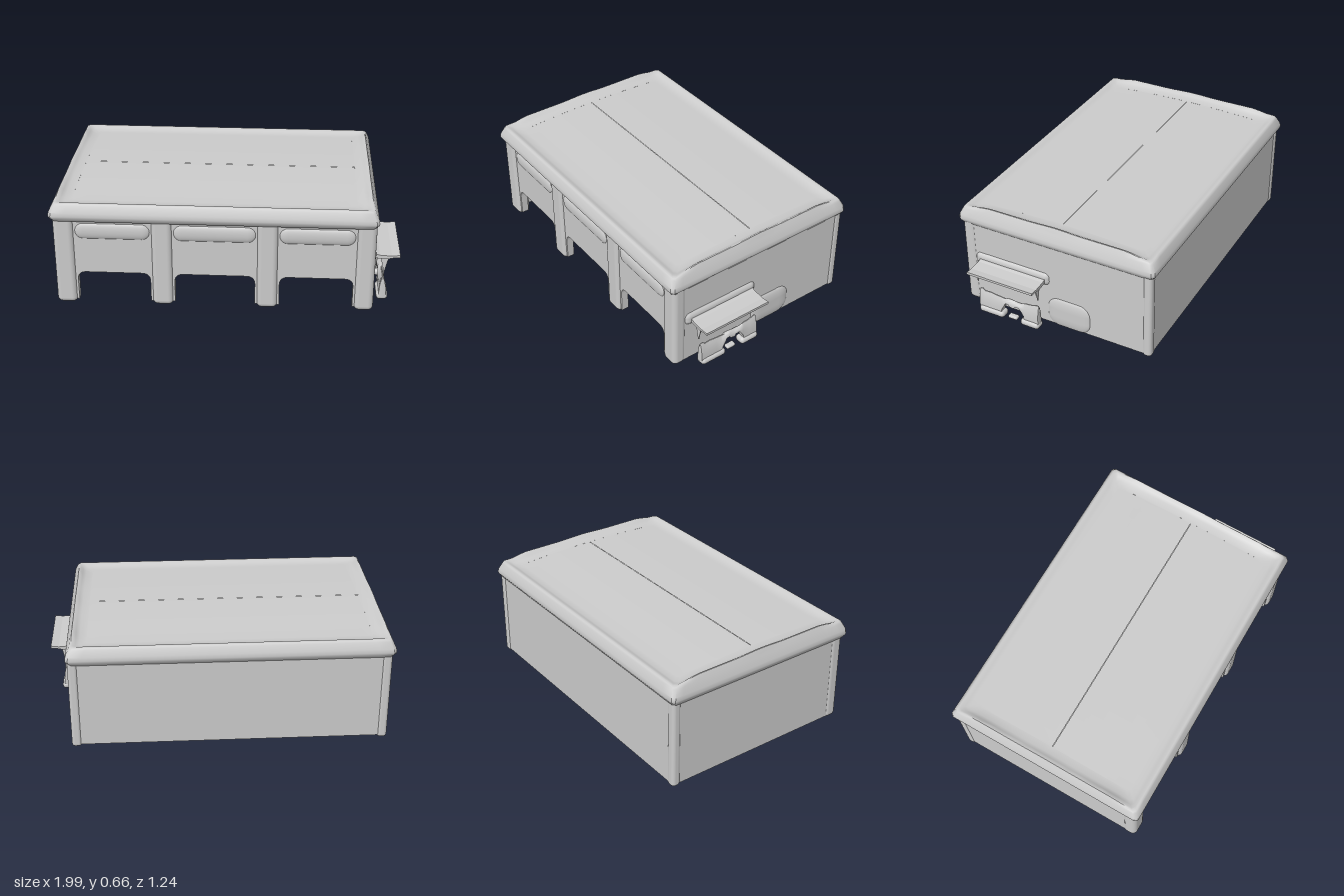
import * as THREE from 'three';
import { RoundedBoxGeometry } from 'three/addons/geometries/RoundedBoxGeometry.js';
import { toCreasedNormals } from 'three/addons/utils/BufferGeometryUtils.js';

const mat = new THREE.MeshStandardMaterial({ color: 0xcccccc, side: THREE.DoubleSide });
const CX = -0.068; // centre of the building in x
const ss = THREE.MathUtils.smoothstep;

export function createModel() {
  const model = new THREE.Group();

  const add = (name, geometry, parent = model) => {
    const mesh = new THREE.Mesh(geometry, mat);
    mesh.name = name;
    parent.add(mesh);
  };
  // box given by its limits; r > 0 rounds the edges
  const box = (name, [x0, x1], [y0, y1], [z0, z1], r = 0, parent = model) => {
    const s = [x1 - x0, y1 - y0, z1 - z0];
    const g = r ? new RoundedBoxGeometry(...s, 4, r) : new THREE.BoxGeometry(...s);
    g.translate((x0 + x1) / 2, (y0 + y1) / 2, (z0 + z1) / 2);
    add(name, g, parent);
  };
  const group = (name) => {
    const g = new THREE.Group();
    g.name = name;
    model.add(g);
    return g;
  };

  // Shell: solid upper block over a low open space, closed on three sides
  box('upperBlock', [-0.972, 0.844], [0.2, 0.58], [-0.597, 0.545]);
  box('leftWall', [-0.972, -0.925], [0.015, 0.5], [-0.597, 0.56]);
  box('rightWall', [0.798, 0.844], [0.015, 0.5], [-0.597, 0.56]);
  box('backWall', [-0.972, 0.844], [0.015, 0.5], [-0.597, -0.552]);

  // Front panel with three round-cornered door openings cut from below
  const bays = [[-0.85, -0.43], [-0.29, 0.17], [0.31, 0.73]];
  const front = new THREE.Shape();
  front.moveTo(-0.965, 0.02);
  const r = 0.05, top = 0.2;
  for (const [a, b] of bays) {
    front.lineTo(a, 0.02);
    front.lineTo(a, top - r);
    front.quadraticCurveTo(a, top, a + r, top);
    front.lineTo(b - r, top);
    front.quadraticCurveTo(b, top, b, top - r);
    front.lineTo(b, 0.02);
  }
  front.lineTo(0.838, 0.02);
  front.lineTo(0.838, 0.56);
  front.lineTo(-0.965, 0.56);
  const frontGeo = new THREE.ExtrudeGeometry(front, { depth: 0.045, bevelEnabled: false, curveSegments: 8 });
  add('frontPanel', frontGeo.translate(0, 0, 0.538));

  // Front pillars, the corner ones deeper, and a soft raised bar above each opening
  [[-0.978, -0.86, 0.515], [-0.42, -0.3, 0.53], [0.18, 0.3, 0.53], [0.74, 0.85, 0.515]].forEach(([a, b, z]) =>
    box('frontPillar', [a, b], [0, 0.585], [z, 0.6], 0.03));
  for (const [a, b] of bays) {
    const bar = new RoundedBoxGeometry(b - a + 0.01, 0.1, 0.1, 6, 0.049);
    add('doorBar', bar.scale(1, 1, 0.4).translate((a + b) / 2, 0.465, 0.576));
  }

  // Rear corner posts
  box('rearPostLeft', [-0.978, -0.92], [0, 0.56], [-0.603, -0.55], 0.02);
  box('rearPostRight', [0.792, 0.85], [0, 0.56], [-0.603, -0.55], 0.02);

  // Cornice, parapet and roof deck; the side parapets rise in the middle
  add('corniceAndRoof', corniceGeometry());

  // Side counter: wedge-shaped shelf with a thin arched bracket below
  const counter = group('sideCounter');
  box('counterBacking', [0.78, 0.859], [0.265, 0.36], [0.03, 0.53], 0.038, counter);
  const wedge = new THREE.Shape([[0.845, 0.322], [0.845, 0.297], [0.875, 0.29], [0.93, 0.288],
    [0.96, 0.295], [0.997, 0.298], [0.997, 0.313], [0.95, 0.307], [0.88, 0.311]].map((p) => new THREE.Vector2(...p)));
  add('shelf', new THREE.ExtrudeGeometry(wedge, { depth: 0.43, bevelEnabled: false }).translate(0, 0, 0.06), counter);
  const arch = new THREE.Shape();
  arch.moveTo(-0.48, 0.3);
  arch.lineTo(-0.48, 0.2);
  arch.lineTo(-0.474, 0.2);
  arch.quadraticCurveTo(-0.468, 0.284, -0.43, 0.285);
  arch.lineTo(-0.125, 0.285);
  arch.quadraticCurveTo(-0.087, 0.284, -0.081, 0.2);
  arch.lineTo(-0.075, 0.2);
  arch.lineTo(-0.075, 0.3);
  const archGeo = new THREE.ExtrudeGeometry(arch, { depth: 0.05, bevelEnabled: false, curveSegments: 8 });
  archGeo.rotateY(Math.PI / 2).translate(0.885, 0, 0);
  // narrow the bracket towards its tips
  const p = archGeo.attributes.position;
  for (let i = 0; i < p.count; i++) {
    p.setX(i, 0.91 + (p.getX(i) - 0.91) * (0.08 + 0.92 * ss(p.getY(i), 0.23, 0.3)));
  }
  add('bracket', toCreasedNormals(archGeo, 0.6), counter);

  // Low bench under the counter: wavy upright back with a central opening, on two feet
  const bench = group('bench');
  add('benchBack', benchGeometry(), bench);
  box('benchFoot', [0.875, 0.942], [0.002, 0.045], [0.3, 0.468], 0.021, bench);
  box('benchFoot', [0.875, 0.942], [0.002, 0.045], [0.068, 0.19], 0.021, bench);
  box('benchStud', [0.89, 0.925], [0.008, 0.03], [0.22, 0.28], 0.01, bench);

  // Shallow swelling on the wall beside the bench
  const bump = new RoundedBoxGeometry(0.18, 0.19, 0.27, 5, 0.07);
  add('wallBump', bump.scale(0.25, 1, 1).translate(0.836, 0.105, -0.085));

  return model;
}

// Rings of a chamfered rectangle, stepped inwards and upwards, closing along the roof's ridge
function corniceGeometry() {
  const HX = 0.928, HZ = 0.62, N = 24;
  // [inset, height, share of the side rise, share of the roof camber, inset in z if different]
  const rings = [[0.05, 0.54, 0, 0], [0.02, 0.53, 0, 0], [0.012, 0.541, 0, 0], [0.002, 0.556, 0, 0],
    [0, 0.567, 0, 0], [0.004, 0.588, 0, 0], [0.021, 0.625, 0, 0], [0.027, 0.635, 0.25, 0], [0.036, 0.638, 1, 0],
    [0.045, 0.637, 1, 0], [0.06, 0.629, 0.4, 0.5], [0.08, 0.621, 0, 1], [0.12, 0.618, 0, 1],
    [0.12, 0.618, 0, 1, 0.3], [0.12, 0.618, 0, 1, 0.45], [0.12, 0.618, 0, 1, 0.619]];
  const pos = [], index = [];
  for (const [inset, y, share, camber, insetZ = inset] of rings) {
    const hx = HX - inset, hz = HZ - insetZ;
    const corners = [[hx, hz], [hx, -hz], [-hx, -hz], [-hx, hz]];
    corners.forEach(([ax, az], k) => {
      const [bx, bz] = corners[(k + 1) % 4];
      const len = Math.hypot(bx - ax, bz - az), c = Math.min(0.016, len / 4);
      for (let i = 0; i <= N; i++) {
        const t = (c + (len - 2 * c) * (i / N)) / len;
        const x = ax + (bx - ax) * t, z = az + (bz - az) * t;
        const rise = k % 2 ? 0 : 0.019 * (1 - ss(Math.abs(z), 0.42, 0.56)) + 0.006 * (1 - ss(Math.abs(z), 0, 0.18));
        pos.push(x + CX, y + share * rise + camber * 0.02 * Math.max(0, 1 - (z / 0.54) ** 2), z);
      }
    });
  }
  const M = 4 * (N + 1), last = (rings.length - 1) * M;
  for (let i = 0; i < M; i++) {
    const n = (i + 1) % M;
    for (let j = 0; j < last; j += M) index.push(j + i, j + n, j + n + M, j + i, j + n + M, j + i + M);
  }
  return indexed(pos, index, 0.75);
}

// Bullet-shaped cross-sections strung along z, each from a bottom to a top height
function benchGeometry() {
  const stations = [[0.47, 0.02, 0.145], [0.466, 0.02, 0.152], [0.45, 0.02, 0.157], [0.435, 0.02, 0.142],
    [0.4, 0.02, 0.145], [0.36, 0.02, 0.139], [0.322, 0.02, 0.136], [0.317, 0.06, 0.135], [0.302, 0.085, 0.133],
    [0.29, 0.11, 0.135], [0.27, 0.112, 0.138], [0.262, 0.098, 0.14], [0.235, 0.095, 0.136], [0.225, 0.108, 0.133],
    [0.2, 0.11, 0.131], [0.185, 0.09, 0.134], [0.17, 0.065, 0.141], [0.163, 0.02, 0.145],
    [0.12, 0.02, 0.15], [0.085, 0.02, 0.16], [0.074, 0.02, 0.156], [0.07, 0.02, 0.145]];
  const K = 8, M = 2 * K, pos = [], index = [];
  stations.forEach(([z, y0, y1], s) => {
    const end = s === 0 || s === stations.length - 1;
    for (let i = 0; i < M; i++) {
      const t = (i < K ? i : M - 1 - i) / (K - 1);
      const w = end ? 0 : 0.003 + 0.017 * (1 - t ** 3);
      pos.push(0.909 + (i < K ? w : -w), y0 + (y1 - y0) * t, z);
      if (s) {
        const n = s * M + ((i + 1) % M), a = s * M + i;
        index.push(a - M, a, n, a - M, n, n - M);
      }
    }
  });
  return indexed(pos, index, 0.8);
}

function indexed(pos, index, crease) {
  const g = new THREE.BufferGeometry();
  g.setAttribute('position', new THREE.Float32BufferAttribute(pos, 3));
  g.setIndex(index);
  return toCreasedNormals(g, crease);
}
